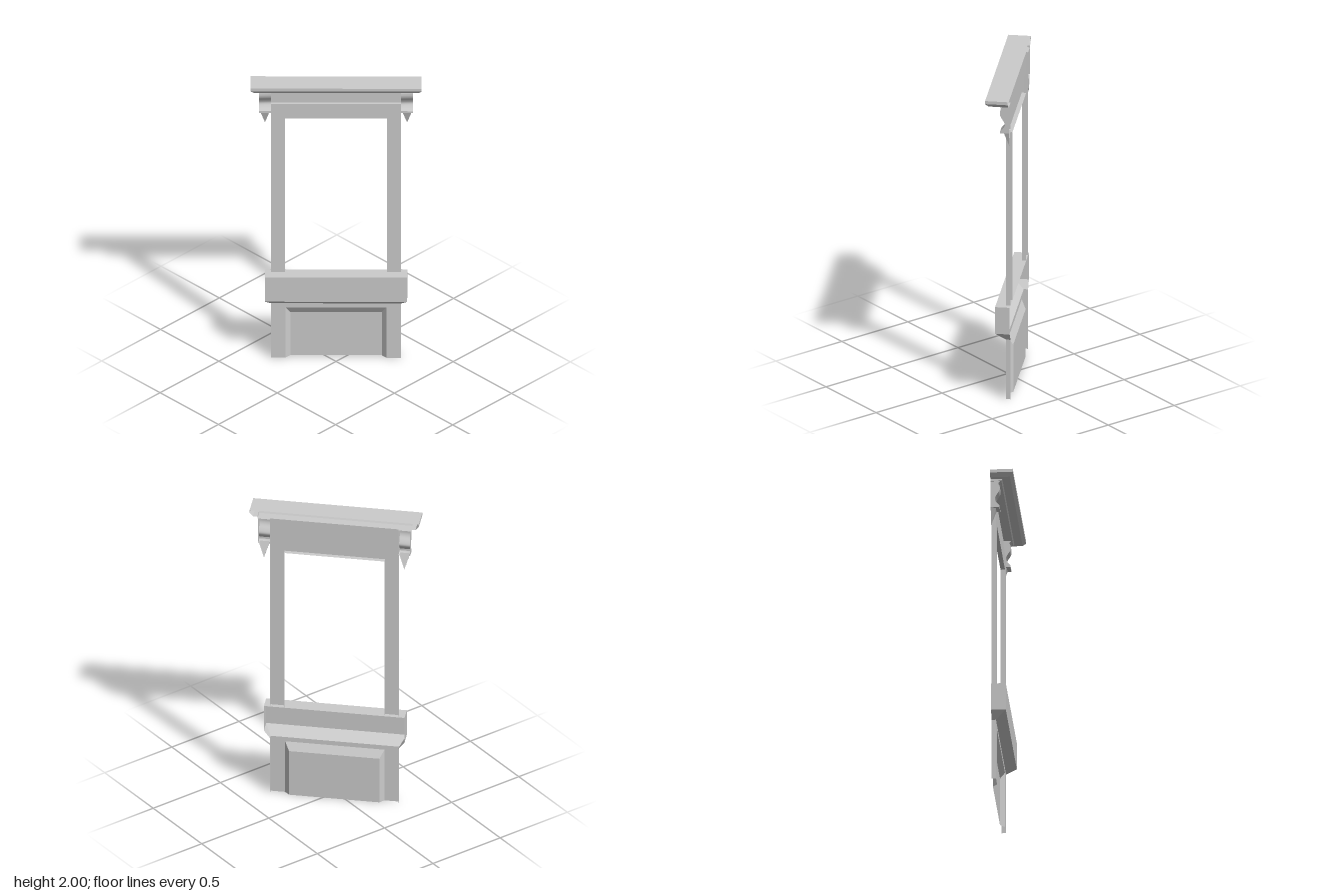
import * as THREE from 'three';
import { toCreasedNormals } from 'three/addons/utils/BufferGeometryUtils.js';

const BACK = -0.069;   // plane of the open back
const WALL = -0.042;   // front plane of the wall
const HALF = 0.393;    // half width of the wall
const OPEN = 0.307;    // half width of the window opening

const material = new THREE.MeshStandardMaterial({ color: 0xcccccc, side: THREE.DoubleSide });

// Skin a list of equally long rows of [x, y, z] points, bottom row first.
function skin(name, rows) {
  const pos = [];
  for (let i = 0; i < rows.length - 1; i++) {
    for (let j = 0; j < rows[i].length - 1; j++) {
      const a = rows[i][j], b = rows[i][j + 1], c = rows[i + 1][j + 1], d = rows[i + 1][j];
      pos.push(...a, ...b, ...c, ...a, ...c, ...d);
    }
  }
  const geo = new THREE.BufferGeometry();
  geo.setAttribute('position', new THREE.Float32BufferAttribute(pos, 3));
  const mesh = new THREE.Mesh(toCreasedNormals(geo, 0.5), material);
  mesh.name = name;
  return mesh;
}

// Open-backed U section: left side, front, right side.
const uRow = (x0, x1, front, y) => [[x0, y, BACK], [x0, y, front], [x1, y, front], [x1, y, BACK]];

// Open-backed shell, symmetric in x, from [halfWidth, front, y] steps.
const shell = (name, steps) => skin(name, steps.map(([h, f, y]) => uRow(-h, h, f, y)));

// Wall below the sill with a bevelled, recessed panel that runs to the floor.
function lowerWall() {
  const row = (y, inner, depth) => {
    const half = [[HALF, BACK], [HALF, WALL], [0.304, WALL], [inner, depth]];
    return [
      ...half.map(([x, z]) => [-x, y, z]),
      ...half.reverse().map(([x, z]) => [x, y, z]),
    ];
  };
  return skin('lowerWallPanel', [
    row(0, 0.276, -0.07), row(0.31, 0.276, -0.07),
    row(0.36, 0.304, WALL), row(0.39, 0.304, WALL),
  ]);
}

// Scrolled bracket with a pointed drop, outside the post on one side.
function bracket(side) {
  const mid = side * 0.429;
  const row = (h, f, y) => uRow(mid - h, mid + h, f, y);
  const scroll = new THREE.SplineCurve([
    [-0.016, 1.785], [-0.03, 1.80], [-0.044, 1.825], [-0.036, 1.85],
    [-0.018, 1.88], [-0.014, 1.91], [-0.022, 1.93], [-0.012, 1.945],
  ].map(([z, y]) => new THREE.Vector2(z, y))).getPoints(24);
  return skin(side > 0 ? 'leftBracket' : 'rightBracket', [
    row(0, BACK, 1.67),
    row(0.03, -0.038, 1.77),
    row(0.036, -0.016, 1.772),
    ...scroll.map((p) => row(0.036, p.x, p.y)),
  ]);
}

export function createModel() {
  const bay = new THREE.Group();
  bay.name = 'windowBay';

  bay.add(lowerWall());

  // Sill box with a chamfered underside
  bay.add(shell('sill', [
    [HALF, WALL, 0.39], [0.43, 0.02, 0.44], [0.43, 0.02, 0.615], [0.43, BACK, 0.615],
  ]));

  // Posts beside the opening
  for (const side of [-1, 1]) {
    const x0 = side > 0 ? OPEN : -HALF;
    const x1 = side > 0 ? HALF : -OPEN;
    const post = skin(side > 0 ? 'leftPost' : 'rightPost',
      [uRow(x0, x1, WALL, 0.615), uRow(x0, x1, WALL, 1.715)]);
    bay.add(post, bracket(side));
  }

  // Head of the opening, and the lintel with a set-back frieze
  bay.add(shell('openingHead', [[OPEN, BACK, 1.715], [OPEN, WALL, 1.715]]));
  bay.add(shell('lintelAndFrieze', [
    [HALF, WALL, 1.715], [HALF, WALL, 1.82], [HALF, WALL - 0.015, 1.82], [HALF, WALL - 0.015, 1.945],
  ]));

  // Stepped cornice
  bay.add(shell('cornice', [
    [HALF, -0.057, 1.945], [0.47, -0.004, 1.945], [0.47, 0.002, 1.957], [0.497, 0.05, 1.957],
    [0.517, 0.069, 1.98], [0.517, 0.069, 2], [0.517, BACK, 2],
  ]));

  // The bay stands diagonally
  bay.rotation.y = Math.PI / 4;
  const model = new THREE.Group();
  model.name = 'diagonalWindowBay';
  model.add(bay);
  return model;
}
